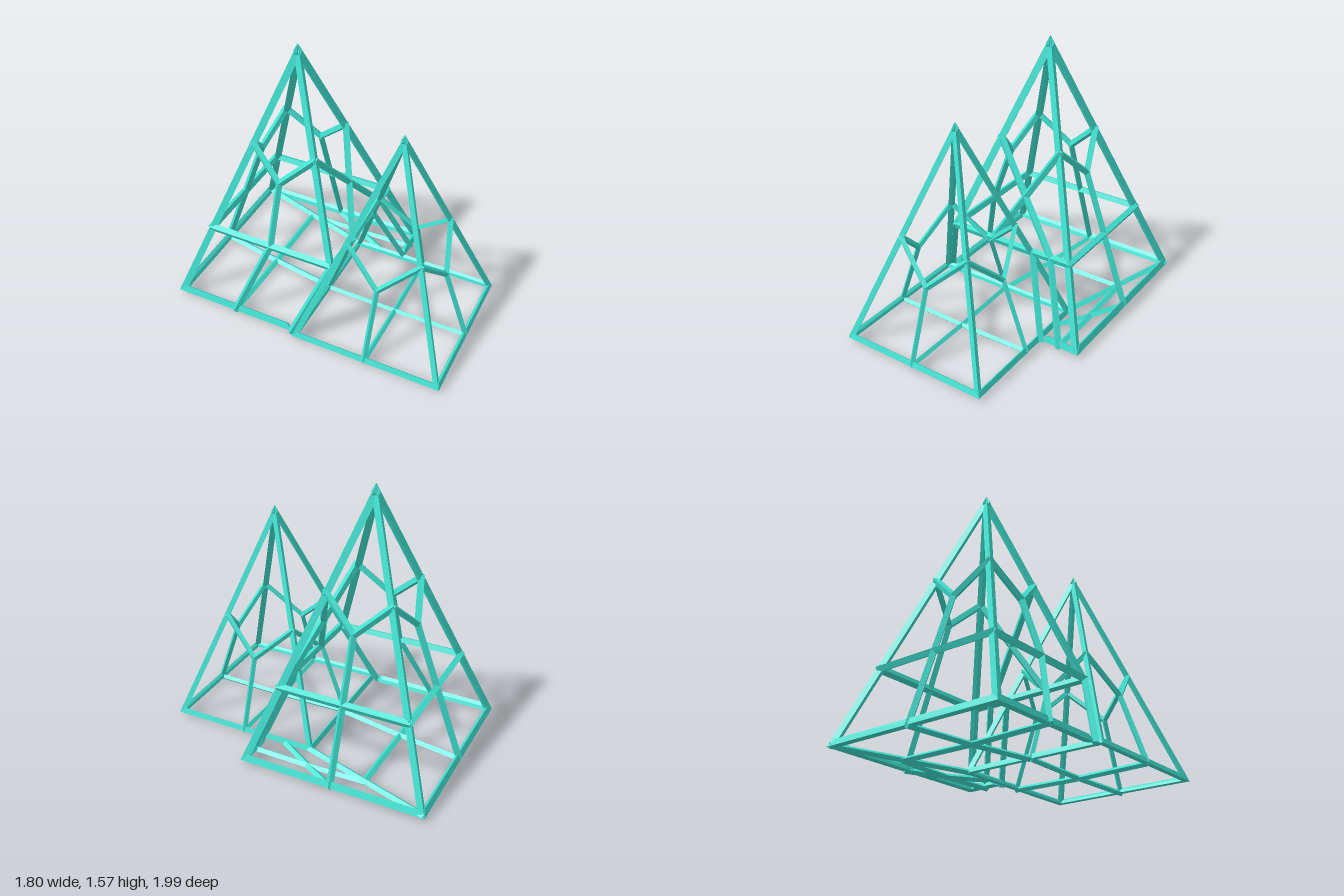
import * as THREE from 'three';

const V = (x, y, z) => new THREE.Vector3(x, y, z);
const mid = (a, b) => a.clone().lerp(b, 0.5);
const mean = (...p) => p.reduce((s, q) => s.add(q), V(0, 0, 0)).divideScalar(p.length);
const UP = V(0, 1, 0);

// Left, front, right and back corner directions of a pyramid base
const dirs = [V(1, 0, 0), V(0, 0, 1), V(-1, 0, 0), V(0, 0, -1)];
const corners = (x, z, r, y) => dirs.map(d => V(x, y, z).addScaledVector(d, r));

// Outward normal of a sloping face
function faceNormal(a, b, c, centre) {
  const n = b.clone().sub(a).cross(c.clone().sub(a)).normalize();
  return n.dot(a.clone().sub(centre)) < 0 ? n.negate() : n;
}

export function createModel() {
  const model = new THREE.Group();
  const material = new THREE.MeshStandardMaterial({ color: 0x40e0d0, flatShading: true });

  function part(name) {
    const g = new THREE.Group();
    g.name = name;
    model.add(g);
    return g;
  }

  // Strut from a to b: a four-sided geometry whose +z side faces the normal
  function place(group, name, geo, a, b, normal) {
    const dir = b.clone().sub(a).normalize();
    const n = normal.clone().addScaledVector(dir, -normal.dot(dir)).normalize();
    const mesh = new THREE.Mesh(geo, material);
    mesh.quaternion.setFromRotationMatrix(
      new THREE.Matrix4().makeBasis(dir.clone().cross(n), dir, n));
    mesh.position.copy(mid(a, b));
    mesh.name = name;
    group.add(mesh);
  }

  // Diamond-section bar centred on its line
  function bar(group, name, a, b, normal, width, depth = width) {
    const geo = new THREE.CylinderGeometry(1, 1, a.distanceTo(b) + width * 0.4, 4);
    geo.scale(width / 2, 1, depth / 2);
    place(group, name, geo, a, b, normal);
  }

  // Outer edge bar: its sharp outer crease lies on the line, its ends are mitred
  function edge(group, name, a, b, normal, half, drop, inner) {
    const geo = new THREE.CylinderGeometry(1, 1, a.distanceTo(b), 4);
    const pos = geo.attributes.position;
    for (let i = 0; i < pos.count; i++) {
      const z = pos.getZ(i);
      const depth = z > 0.5 ? 0 : z < -0.5 ? drop + inner : drop;
      const y = pos.getY(i);
      pos.setXYZ(i, pos.getX(i) * half, y - Math.sign(y) * depth * 1.1, -depth);
    }
    place(group, name, geo, a, b, normal);
  }

  // Base edge whose crease points outward and down
  function baseEdge(group, a, b, centre, half, drop) {
    const out = mid(a, b).sub(centre).setY(0).normalize();
    edge(group, 'baseEdge', a, b, out.multiplyScalar(0.82).addScaledVector(UP, -0.57), half, drop, 0.005);
  }

  // Strut lines, and the outer edges lying just outside them
  const Y0 = 0.033;
  const apexA = V(-0.12, 1.54, -0.215), apexB = V(0.265, 1.252, 0.36);
  const baseA = corners(-0.12, -0.215, 0.76, Y0);
  const baseB = corners(0.265, 0.36, 0.618, Y0);
  const tipA = V(-0.12, 1.575, -0.215), tipB = V(0.265, 1.285, 0.36);
  const rimA = corners(-0.12, -0.215, 0.782, 0.025);
  const rimB = corners(0.265, 0.36, 0.636, 0.025);
  const RING = 0.283;
  const ring = baseA.map(c => c.clone().lerp(apexA, RING));
  const [east, , west, north] = baseA;
  const [ringE, ringF, ringW] = ring;
  const P = V(-0.36, 0.025, 0.328);        // where the two bases meet on one side
  const I = V(0.492, 0.025, -0.048);       // where the two bases cross on the other
  const K = baseB[3];
  const Q = V(0.265, 0.46, -0.045);        // small back ridge inside the tall ring

  // Small pyramid: ridges, base and a Y of struts on each face
  const small = part('smallPyramid');
  rimB.forEach((c, i) => {
    const j = (i + 1) % 4;
    const p = baseB[i], q = baseB[j];
    const n = faceNormal(apexB, p, q, apexB.clone().setY(0.3));
    const centre = mean(apexB, p, q);
    edge(small, 'ridge', c, tipB, dirs[i], 0.018, 0.026, 0.007);
    baseEdge(small, c, rimB[j], apexB, 0.018, 0.027);
    for (const m of [mid(apexB, p), mid(apexB, q), mid(p, q)]) {
      bar(small, 'faceStrut', m, centre, n, 0.033);
    }
  });

  // Tall pyramid: ridges and ring, left open where the small pyramid enters
  const tall = part('tallPyramid');
  rimA.forEach((c, i) => {
    const j = (i + 1) % 4;
    const r = ring[i], s = ring[j];
    const foot = i === 1 ? c.clone().lerp(tipA, RING) : c;
    edge(tall, 'ridge', foot, tipA, dirs[i], 0.022, 0.034, 0.009);
    if (i === 0) return;
    const n = faceNormal(apexA, r, s, apexA.clone().setY(0.4));
    const centre = mean(apexA, r, s);
    const m = mid(r, s);
    bar(tall, 'ringBar', r, s, n, 0.046);
    for (const p of [mid(apexA, r), mid(apexA, s), m]) bar(tall, 'faceStrut', p, centre, n, 0.042);
    if (i > 1) {
      baseEdge(tall, c, rimA[j], apexA, 0.023, 0.034);
      bar(tall, 'lowerStrut', m, mid(baseA[i], baseA[j]), n, 0.042);
    }
  });

  // Lower front panel beside the junction
  const nFront = V(-1, 0.7, 1);
  baseEdge(tall, rimA[2], P, apexA, 0.023, 0.034);
  bar(tall, 'junctionPost', ringF, P, nFront, 0.044);
  bar(tall, 'lowerStrut', mid(ringW, ringF), mid(west, P), nFront, 0.042);

  // Bent face where the two pyramids join
  const join = part('joinedFace');
  const nJoin = V(1, 0.7, 1);
  const bend = mean(apexA, ringE, Q, ringF);
  bar(join, 'ringBar', ringF, Q, nJoin, 0.044);
  bar(join, 'ringBar', Q, ringE, nJoin, 0.044);
  for (const p of [mid(apexA, ringF), mid(apexA, ringE), mid(ringF, Q), mid(Q, ringE)]) {
    bar(join, 'faceStrut', p, bend, nJoin, 0.044);
  }
  bar(join, 'junctionPost', Q, I, nJoin, 0.042);
  bar(join, 'lowerStrut', mid(Q, ringE), mid(I, east), nJoin, 0.042);
  baseEdge(join, rimA[0], I, apexA, 0.023, 0.034);

  // Underside: each panel has struts from its centre to the middles of its edges
  const under = part('underside');
  const panels = [[west, north, K, P], [north, east, I, K], baseB];
  panels.forEach((p, k) => {
    const centre = mean(...p).setY(0.019);
    p.forEach((c, i) => {
      const m = mid(c, p[(i + 1) % 4]).setY(0.026);
      bar(under, 'floorStrut', m, centre, UP, k === 2 ? 0.032 : 0.042, 0.034);
    });
  });
  bar(under, 'floorEdge', north, K, UP, 0.044, 0.034);

  return model;
}
